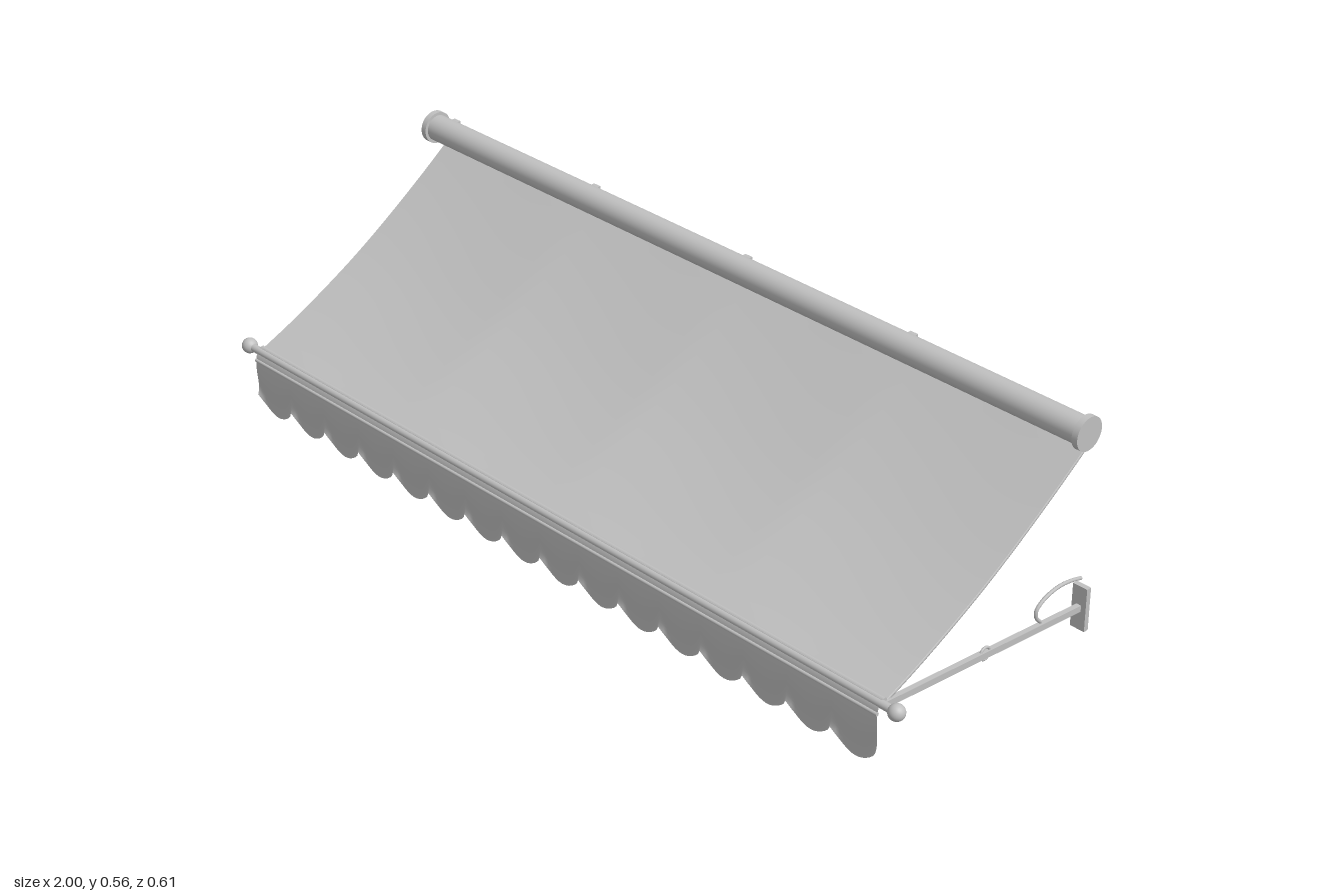
import * as THREE from 'three';

const HALF = 0.945;   // half width of the cloth
const BAYS = 4;       // cloth bays between ribs

export function createModel() {
  const root = new THREE.Group();
  root.name = 'awning';
  const grey = new THREE.MeshStandardMaterial({ color: 0xc0c0c0, side: THREE.DoubleSide });
  grey.name = 'light grey';

  const add = (name, geometry, x = 0, y = 0, z = 0) => {
    const mesh = new THREE.Mesh(geometry, grey);
    mesh.name = name;
    mesh.position.set(x, y, z);
    root.add(mesh);
    return mesh;
  };
  const box = (name, w, h, d, x, y, z) => add(name, new THREE.BoxGeometry(w, h, d), x, y, z);
  const rod = (name, r, len, x, y, z, seg = 32) =>
    add(name, new THREE.CylinderGeometry(r, r, len, seg).rotateZ(Math.PI / 2), x, y, z);
  // Sheet whose points follow a rule of (u, v) in 0..1
  const sheet = (name, nu, nv, rule) => {
    const g = new THREE.PlaneGeometry(1, 1, nu, nv);
    const p = g.attributes.position;
    for (let i = 0; i < p.count; i++) {
      const [x, y, z] = rule(p.getX(i) + 0.5, 0.5 - p.getY(i));
      p.setXYZ(i, x, y, z);
    }
    g.computeVertexNormals();
    return add(name, g);
  };

  // Slope of the cloth, from the wall to the front bar
  const slope = new THREE.CatmullRomCurve3([
    [0.502, -0.3], [0.427, -0.2], [0.357, -0.1], [0.293, 0], [0.237, 0.1], [0.187, 0.2], [0.15, 0.284],
  ].map(([y, z]) => new THREE.Vector3(0, y, z)));

  // Cloth, sagging slightly between the ribs
  sheet('cloth', 64, 24, (u, v) => {
    const p = slope.getPoint(v);
    const sag = 0.004 * Math.sin(Math.PI * v) * Math.abs(Math.sin(Math.PI * u * BAYS));
    return [(u * 2 - 1) * HALF, p.y - sag, p.z - sag * 0.5];
  });

  // Ribs below the cloth
  const ribPath = new THREE.CatmullRomCurve3(
    slope.getPoints(12).map((p) => new THREE.Vector3(0, p.y - 0.0065, p.z - 0.0035)));
  for (let i = 0; i <= BAYS; i++) {
    const x = (i / BAYS * 2 - 1) * (HALF - 0.007);
    add('rib', new THREE.TubeGeometry(ribPath, 32, 0.006, 10), x);
    box('wallBracket', 0.02, 0.036, 0.014, x, 0.512, -0.296);
  }

  // Roller with end caps, and the rail that holds it to the wall
  rod('roller', 0.03, 1.9, 0, 0.522, -0.254, 48);
  box('wallRail', 1.89, 0.026, 0.01, 0, 0.512, -0.293);
  rod('rearRail', 0.006, 1.88, 0, 0.496, -0.294, 12);

  // Front bar and the lower strip that carries the valance
  rod('frontBar', 0.009, 1.94, 0, 0.148, 0.288, 20);
  rod('frontRail', 0.007, 1.89, 0, 0.152, 0.281, 12);
  rod('valanceRod', 0.004, 1.89, 0, 0.13, 0.3, 10);
  sheet('valanceTop', 1, 4, (u, v) =>
    [(u * 2 - 1) * HALF, 0.158 - 0.028 * v, 0.288 + 0.012 * Math.sin(v * Math.PI / 2)]);

  // Scalloped valance, its points curling a little forward
  const scallops = 16;
  sheet('valance', scallops * 12, 14, (u, v) => {
    const bow = Math.sin(Math.PI * ((u * scallops) % 1));
    const bottom = 0.042 - 0.04 * Math.pow(Math.abs(bow), 0.75);
    const curl = 0.009 * Math.pow(1 - Math.abs(bow), 3) * Math.pow(v, 4);
    return [(u * 2 - 1) * HALF, 0.13 + (bottom - 0.13) * v,
      0.3 - 0.006 * v + 0.002 * Math.sin(v * 5) + curl];
  });

  // Both ends: caps, knobs, side arms and wall plates
  const hookPath = new THREE.CatmullRomCurve3([
    [0.12, -0.172], [0.136, -0.158], [0.153, -0.157], [0.17, -0.178], [0.18, -0.22], [0.178, -0.255], [0.17, -0.29],
  ].map(([y, z]) => new THREE.Vector3(0, y, z)));
  for (const side of [1, -1]) {
    const x = side * 0.943;
    rod('rollerCap', 0.037, 0.014, side * 0.957, 0.522, -0.254, 48);
    add('barKnob', new THREE.SphereGeometry(0.018, 24, 16), side * 0.982, 0.148, 0.288);
    const from = new THREE.Vector3(x, 0.144, 0.284), to = new THREE.Vector3(x, 0.1, -0.29);
    const mid = from.clone().lerp(to, 0.5);
    const arm = box('sideArm', 0.012, 0.0145, from.distanceTo(to), mid.x, mid.y, mid.z);
    arm.rotation.x = -Math.atan2(from.y - to.y, from.z - to.z);
    add('armRing', new THREE.TorusGeometry(0.0135, 0.003, 10, 28).rotateY(Math.PI / 2), x, 0.123, -0.007);
    add('armHook', new THREE.TubeGeometry(hookPath, 40, 0.004, 10), x);
    box('wallPlate', 0.036, 0.1, 0.012, x, 0.1, -0.296);
  }
  return root;
}
